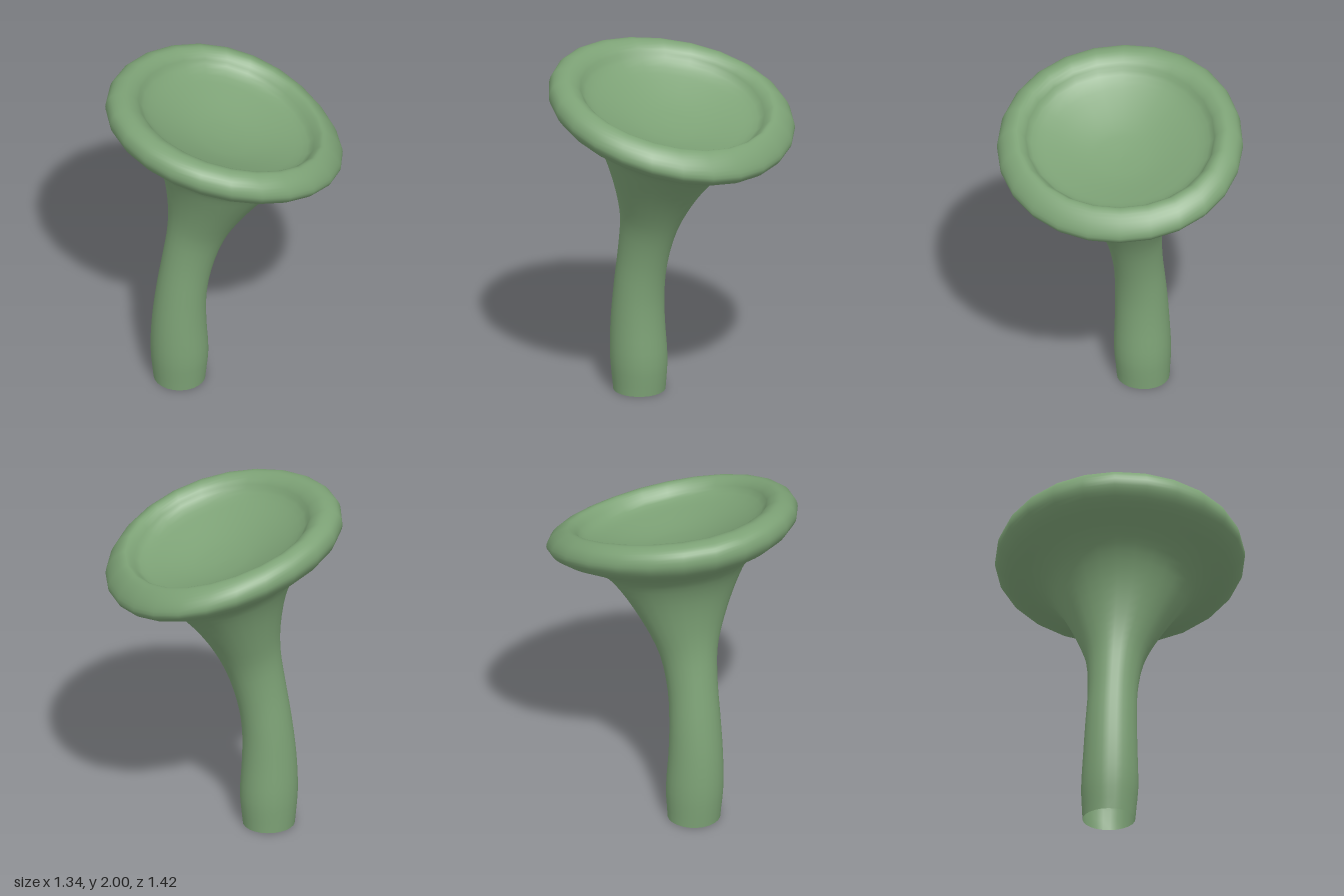
import * as THREE from 'three';

const SIDES = 24;
const STEPS = 3; // smoothing rings between two given cross-sections

// Cross-sections from foot to bowl: low-x point, high-x point, z centre, z radius
const SECTIONS = [
  // stem
  [-0.393, 0, -0.098, 0, -0.05, 0.15],
  [-0.411, 0.20, -0.083, 0.18, -0.046, 0.162],
  [-0.405, 0.42, -0.096, 0.40, -0.042, 0.154],
  [-0.38, 0.65, -0.096, 0.58, -0.038, 0.146],
  [-0.345, 0.88, -0.067, 0.77, -0.03, 0.142],
  [-0.318, 1.08, 0.003, 0.98, -0.02, 0.165],
  // flare
  [-0.318, 1.25, 0.113, 1.17, -0.01, 0.235],
  [-0.35, 1.45, 0.245, 1.33, 0, 0.325],
  [-0.41, 1.60, 0.365, 1.425, 0, 0.40],
  [-0.49, 1.70, 0.47, 1.46, 0, 0.495],
  [-0.60, 1.79, 0.585, 1.48, 0, 0.62],
  // rolled rim
  [-0.655, 1.855, 0.648, 1.507, 0, 0.685],
  [-0.672, 1.91, 0.671, 1.545, 0, 0.71],
  [-0.655, 1.965, 0.648, 1.61, 0, 0.69],
  [-0.615, 1.993, 0.60, 1.667, 0, 0.645],
  [-0.555, 1.998, 0.56, 1.685, 0, 0.60],
  [-0.495, 1.96, 0.525, 1.665, 0, 0.555],
  // bowl
  [-0.455, 1.90, 0.475, 1.625, 0, 0.515],
  [-0.35, 1.818, 0.36, 1.612, 0, 0.39],
  [-0.18, 1.717, 0.18, 1.613, 0, 0.20],
  [-0.06, 1.668, 0.06, 1.633, 0, 0.066],
  [0, 1.648, 0, 1.648, 0, 0],
];

// Skin of rings, wrapped around without a seam so the shading stays smooth
function loftGeometry(sections) {
  const curve = (f) => new THREE.CatmullRomCurve3(sections.map(f), false, 'centripetal');
  const low = curve((s) => new THREE.Vector3(s[0], s[1], 0));
  const high = curve((s) => new THREE.Vector3(s[2], s[3], 0));
  const depth = new THREE.SplineCurve(sections.map((s) => new THREE.Vector2(s[4], s[5])));
  const rings = (sections.length - 1) * STEPS;
  const positions = [], index = [];
  for (let j = 0; j <= rings; j++) {
    const t = j / rings;
    const a = low.getPoint(t), b = high.getPoint(t), d = depth.getPoint(t);
    for (let i = 0; i < SIDES; i++) {
      const angle = (i / SIDES) * Math.PI * 2;
      const p = a.clone().lerp(b, 0.5 + 0.5 * Math.cos(angle));
      const side = d.y * Math.sin(angle);
      // the cap's sides lift a little, and its back leans toward +x
      const lean = (side < 0 ? 0.165 : 0.015) * side * side;
      positions.push(p.x + lean, p.y + 0.05 * side * side, d.x + side);
      if (j === rings) continue;
      const p0 = j * SIDES + i, p1 = j * SIDES + ((i + 1) % SIDES);
      index.push(p0, p0 + SIDES, p1, p1, p0 + SIDES, p1 + SIDES);
    }
  }
  const geometry = new THREE.BufferGeometry();
  geometry.setAttribute('position', new THREE.Float32BufferAttribute(positions, 3));
  geometry.setIndex(index);
  geometry.computeVertexNormals();
  return geometry;
}

export function createModel() {
  const group = new THREE.Group();
  group.name = 'cupMushroom';
  // Stem, flare, rim and bowl are one skin, open at the foot
  const skin = new THREE.Mesh(
    loftGeometry(SECTIONS),
    new THREE.MeshStandardMaterial({ color: 0x7da276, side: THREE.DoubleSide })
  );
  skin.name = 'stemAndCup';
  group.add(skin);
  return group;
}
